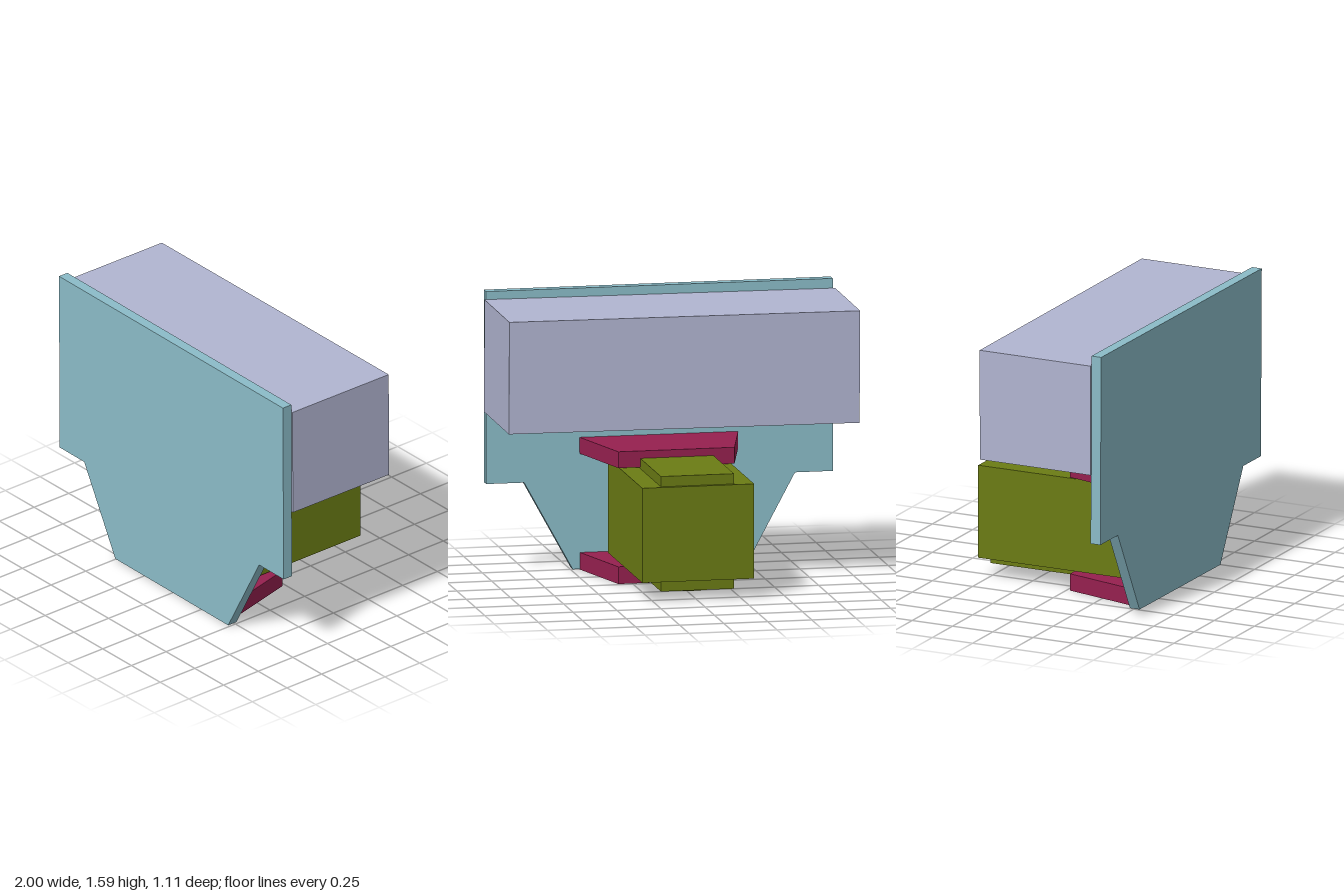
import * as THREE from 'three';

const material = (color) => new THREE.MeshStandardMaterial({ color, flatShading: true });

export function createModel() {
  const model = new THREE.Group();
  const teal = material(0x8bbcc8);
  const lilac = material(0xb1b5d1);
  const crimson = material(0x96204f);
  const olive = material(0x6b7c14);

  const add = (name, geometry, mat, x, y, z, parent = model) => {
    const mesh = new THREE.Mesh(geometry, mat);
    mesh.name = name;
    mesh.position.set(x, y, z);
    parent.add(mesh);
    return mesh;
  };
  // Box given by its extents along each axis
  const addBox = (name, mat, [x0, x1], [y0, y1], [z0, z1], parent) =>
    add(name, new THREE.BoxGeometry(x1 - x0, y1 - y0, z1 - z0), mat,
      (x0 + x1) / 2, (y0 + y1) / 2, (z0 + z1) / 2, parent);
  const extrude = (points, depth) => new THREE.ExtrudeGeometry(
    new THREE.Shape(points.map(([x, y]) => new THREE.Vector2(x, y))),
    { depth, bevelEnabled: false });

  // Front plate: wide above, tapering below; hangs very slightly askew
  const mid = 0.8;
  const outline = [[-0.5, 0.003], [0.49, 0.003], [0.765, 0.503], [0.98, 0.503],
    [0.98, 1.59], [-0.985, 1.59], [-0.985, 0.503], [-0.77, 0.503]];
  const plateGeometry = extrude(outline.map(([x, y]) => [x, y - mid]), 0.06);
  plateGeometry.translate(0, 0, -0.03);
  const plate = add('frontPlate', plateGeometry, teal, 0, mid, 0.514);
  plate.rotation.set(0.005, -0.0075, 0);

  // Long upper case, slightly askew as well
  const upperCase = addBox('upperCase', lilac, [-0.995, 0.993], [0.907, 1.54], [-0.203, 0.487]);
  upperCase.rotation.set(0, -0.0065, 0.005);

  // Two trapezoid brackets behind the plate
  const bracketShape = [[-0.45, 0.487], [-0.33, 0.02], [0.33, 0.02], [0.45, 0.487]];
  for (const [name, y0, y1] of [['lowerBracket', 0, 0.097], ['upperBracket', 0.655, 0.747]]) {
    const geometry = extrude(bracketShape, y1 - y0);
    geometry.rotateX(Math.PI / 2);
    add(name, geometry, crimson, 0, y1, 0);
  }

  // Rear block with raised panels above and below, and a small foot
  const block = new THREE.Group();
  block.name = 'rearBlock';
  model.add(block);
  addBox('blockBody', olive, [-0.32, 0.315], [0.112, 0.647], [-0.555, 0.363], block);
  addBox('topPanel', olive, [-0.21, 0.205], [0.64, 0.705], [-0.533, 0.255], block);
  addBox('bottomPanel', olive, [-0.21, 0.205], [0.055, 0.12], [-0.533, 0.255], block);
  addBox('foot', olive, [-0.052, 0.05], [0.025, 0.06], [-0.393, -0.293], block);

  return model;
}
